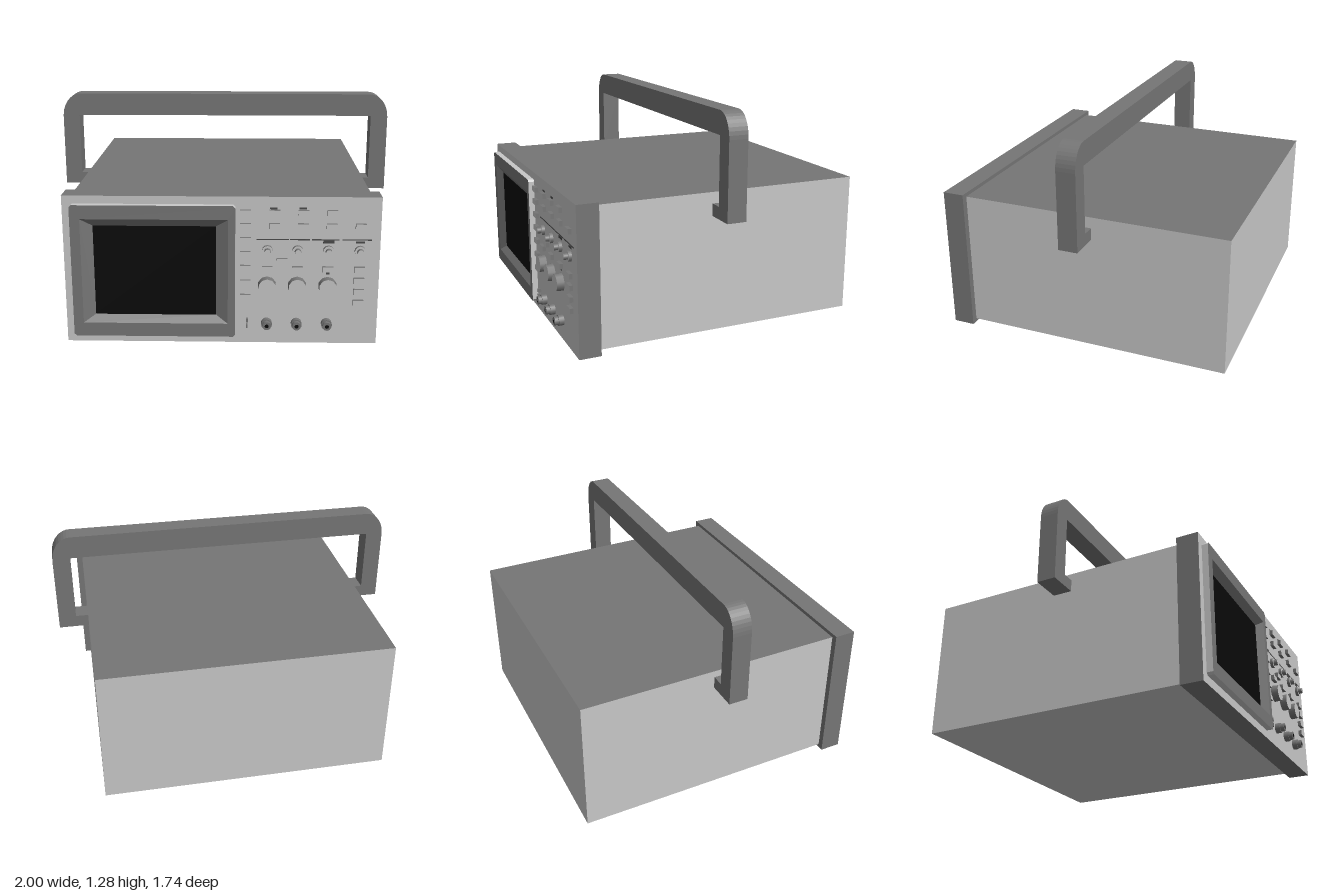
import * as THREE from 'three';

const mat = (name, color, extra = {}) => {
  const m = new THREE.MeshStandardMaterial({ color, ...extra });
  m.name = name;
  return m;
};

export function createModel() {
  const light = mat('light grey', 0xc8c8c8);
  const dark = mat('dark grey', 0x767676);
  const black = mat('screen black', 0x0a0a0a);
  const ink = mat('marking grey', 0x4a4a4a);
  const root = new THREE.Group();
  const PANEL = 0.82; // z of the front panel face

  const add = (name, geo, material, x = 0, y = 0, z = 0, parent = root) => {
    const m = new THREE.Mesh(geo, material);
    m.name = name;
    m.position.set(x, y, z);
    parent.add(m);
    return m;
  };
  const group = (name) => {
    const g = new THREE.Group();
    g.name = name;
    root.add(g);
    return g;
  };
  // box from its limits
  const box = (name, x0, x1, y0, y1, z0, z1, material, parent) =>
    add(name, new THREE.BoxGeometry(x1 - x0, y1 - y0, z1 - z0), material,
      (x0 + x1) / 2, (y0 + y1) / 2, (z0 + z1) / 2, parent);

  // case: light with a dark lid; front bezel: dark with a light face
  box('case', -0.83, 0.825, 0.02, 0.825, -0.867, 0.70, [light, light, dark, light, light, light]);
  box('frontPanel', -0.865, 0.862, 0, 0.847, 0.695, PANEL, [dark, dark, dark, dark, light, dark]);

  // carrying handle: one outline with rounded outer corners and inward feet
  const s = new THREE.Shape();
  s.moveTo(-0.82, 0.715);
  s.lineTo(-0.82, 0.785);
  s.lineTo(-0.9, 0.785);
  s.lineTo(-0.9, 1.15);
  s.lineTo(0.898, 1.15);
  s.lineTo(0.898, 0.76);
  s.lineTo(0.82, 0.76);
  s.lineTo(0.82, 0.69);
  s.lineTo(1, 0.69);
  s.lineTo(1, 1.14);
  s.absellipse(0.89, 1.14, 0.11, 0.143, 0, Math.PI / 2);
  s.lineTo(-0.89, 1.283);
  s.absellipse(-0.89, 1.14, 0.11, 0.143, Math.PI / 2, Math.PI);
  s.lineTo(-1, 0.715);
  add('handle', new THREE.ExtrudeGeometry(s, { depth: 0.113, bevelEnabled: false, curveSegments: 5 }),
    dark, 0, 0, -0.083);

  // screen surround: dark face, light rim, sloped recess, black screen
  const screen = group('screenAssembly');
  const rect = (x0, x1, y0, y1) => [[x0, y0], [x1, y0], [x1, y1], [x0, y1]];
  const toVec = (pts) => pts.map(([x, y]) => new THREE.Vector2(x, y));
  const outer = rect(-0.765, 0.035, 0.125, 0.725);
  const inner = rect(-0.70, -0.03, 0.165, 0.68);
  const c = 0.012;
  const frame = new THREE.Shape(toVec([
    [-0.82 + c, 0.047], [0.075 - c, 0.047], [0.075, 0.047 + c], [0.075, 0.803 - c],
    [0.075 - c, 0.803], [-0.82 + c, 0.803], [-0.82, 0.803 - c], [-0.82, 0.047 + c]]));
  frame.holes.push(new THREE.Path(toVec(outer)));
  add('screenFrame', new THREE.ExtrudeGeometry(frame, { depth: 0.035, bevelEnabled: false }),
    [dark, light], 0, 0, PANEL, screen);
  const slope = [];
  for (let i = 0; i < 4; i++) {
    const j = (i + 1) % 4;
    const a = [...outer[i], 0.855], b = [...outer[j], 0.855];
    const d = [...inner[j], 0.823], e = [...inner[i], 0.823];
    slope.push(...a, ...b, ...d, ...a, ...d, ...e);
  }
  const slopeGeo = new THREE.BufferGeometry();
  slopeGeo.setAttribute('position', new THREE.Float32BufferAttribute(slope, 3));
  slopeGeo.computeVertexNormals();
  add('screenRecess', slopeGeo, dark, 0, 0, 0, screen);
  box('screen', -0.70, -0.03, 0.165, 0.68, PANEL, 0.824, black, screen);

  // push buttons: light caps on dark sides
  const buttons = group('buttons');
  const spots = [0.76, 0.685, 0.605, 0.525, 0.445, 0.36, 0.275].map((y) => [0.13, y]);
  for (const x of [0.287, 0.442, 0.597]) spots.push([x, 0.76], [x, 0.685]);
  for (const x of [0.25, 0.415, 0.582]) spots.push([x, 0.44]);
  for (const y of [0.685, 0.44, 0.375, 0.31, 0.247]) spots.push([0.753, y]);
  spots.push([0.33, 0.487]);
  for (const [x, y] of spots) {
    box('button', x - 0.029, x + 0.029, y - 0.015, y + 0.015, PANEL, 0.84,
      [dark, dark, dark, dark, light, dark], buttons);
  }

  // turned parts that stand out from the panel
  const turned = (name, x, y, r0, r1, z0, z1, sides, cap, parent) => {
    const geo = new THREE.CylinderGeometry(r1, r0, z1 - z0, sides);
    geo.rotateX(Math.PI / 2);
    return add(name, geo, [dark, cap, dark], x, y, (z0 + z1) / 2, parent);
  };
  const knobs = group('knobs');
  for (const x of [0.25, 0.415, 0.582, 0.753]) {
    turned('smallKnobBase', x, 0.545, 0.03, 0.03, PANEL, 0.838, 12, light, knobs);
    turned('smallKnob', x, 0.545, 0.018, 0.017, 0.838, 0.862, 12, light, knobs);
  }
  for (const x of [0.25, 0.415, 0.582]) {
    turned('largeKnob', x, 0.343, 0.051, 0.048, PANEL, 0.861, 10, light, knobs);
  }

  // signal sockets: dark barrel with a ring and a black core
  const sockets = group('sockets');
  for (const x of [0.25, 0.415, 0.582]) {
    turned('socketCollar', x, 0.12, 0.03, 0.03, PANEL, 0.85, 16, dark, sockets);
    turned('socketBarrel', x, 0.12, 0.024, 0.024, 0.85, 0.872, 16, dark, sockets);
    turned('socketCore', x, 0.12, 0.011, 0.011, 0.872, 0.874, 12, black, sockets);
  }
  for (const y of [0.105, 0.138]) {
    box('probePin', 0.136, 0.146, y - 0.011, y + 0.011, PANEL, 0.84, dark, sockets);
  }

  // painted rules and small marks
  const marks = group('panelMarks');
  const mark = (x0, x1, y0, y1) => box('mark', x0, x1, y0, y1, PANEL, 0.822, ink, marks);
  for (const [x0, x1] of [[0.19, 0.365], [0.372, 0.48], [0.49, 0.64], [0.655, 0.815]]) {
    mark(x0, x1, 0.604, 0.61);
  }
  for (const [x, y, w, h] of [[0.28, 0.783, 0.04, 0.01], [0.44, 0.783, 0.04, 0.012],
    [0.582, 0.594, 0.06, 0.016], [0.753, 0.594, 0.05, 0.012], [0.582, 0.418, 0.02, 0.018]]) {
    mark(x - w / 2, x + w / 2, y - h / 2, y + h / 2);
  }
  return root;
}
